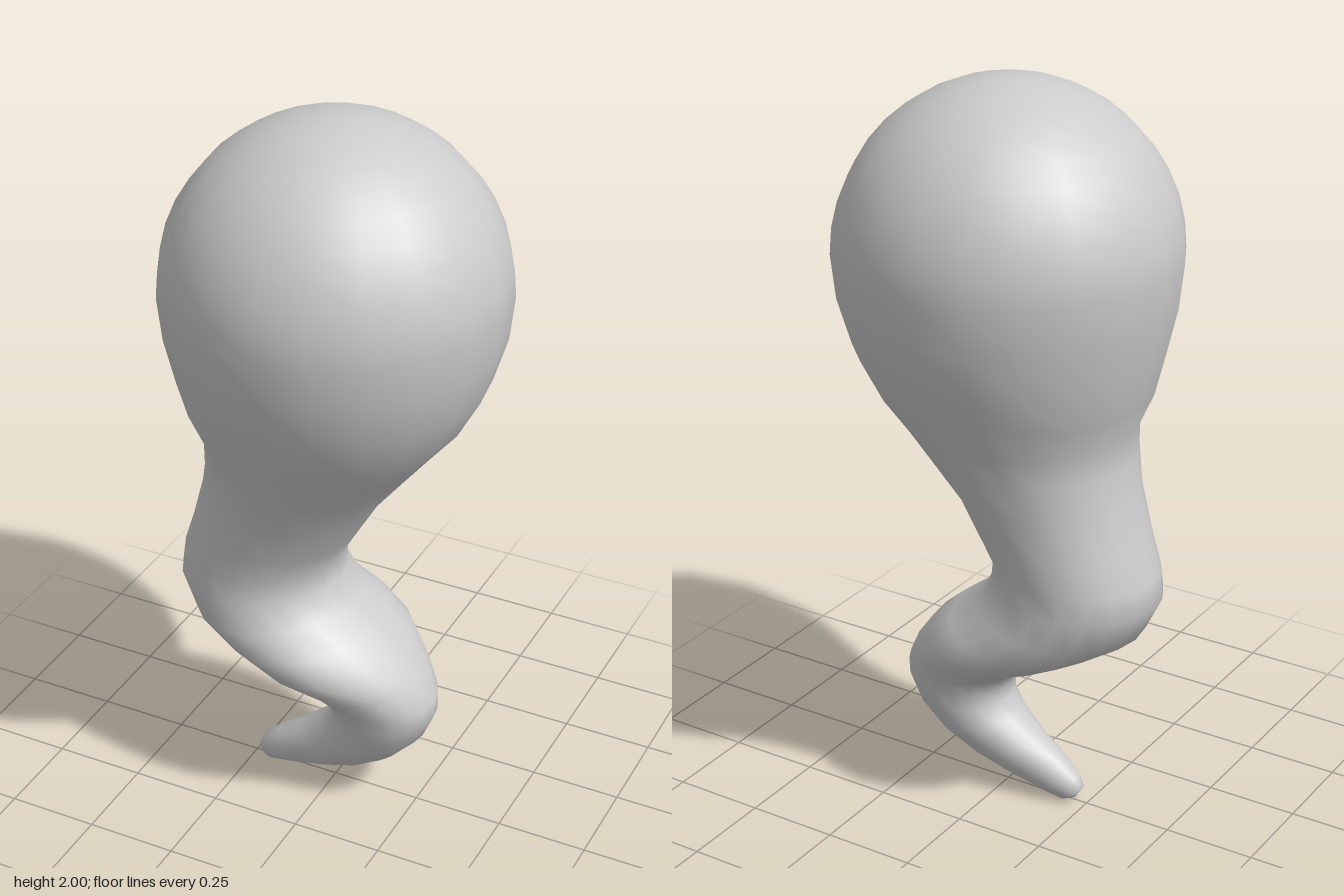
import * as THREE from 'three';

const SIDES = 20;

// Each section: left x, left y, right x, right y, half depth
const TAIL = [
  [-0.437, 1.43, 0.437, 1.43, 0.437],
  [-0.41, 1.31, 0.4, 1.31, 0.405],
  [-0.385, 1.2, 0.34, 1.2, 0.36],
  [-0.347, 1.11, 0.265, 1.11, 0.31],
  [-0.35, 1.03, 0.2, 1.03, 0.28],
  [-0.367, 0.93, 0.12, 0.93, 0.245],
  [-0.4, 0.81, 0.05, 0.81, 0.23],
  [-0.43, 0.72, 0.01, 0.74, 0.222],
  [-0.44, 0.65, 0.015, 0.68, 0.225],
  [-0.39, 0.55, 0.05, 0.61, 0.24],
  [-0.28, 0.48, 0.13, 0.56, 0.255],
  [-0.18, 0.43, 0.2, 0.5, 0.245],
  [-0.07, 0.38, 0.26, 0.42, 0.19],
  [-0.02, 0.34, 0.295, 0.35, 0.155],
  [0, 0.3, 0.295, 0.3, 0.143],
  [0, 0.26, 0.265, 0.23, 0.13],
  [-0.03, 0.22, 0.19, 0.15, 0.115],
  [-0.1, 0.165, 0.1, 0.09, 0.09],
  [-0.17, 0.12, 0, 0.05, 0.068],
  [-0.22, 0.078, -0.11, 0.02, 0.05],
  [-0.235, 0.045, -0.175, 0.005, 0.035],
];

// Joins elliptical sections, with a single point closing each end
function loft(sections, top, tip) {
  const points = [...top];
  for (const [xl, yl, xr, yr, depth] of sections) {
    for (let j = 0; j < SIDES; j++) {
      const a = (j / SIDES) * Math.PI * 2;
      const t = (1 + Math.cos(a)) / 2;
      points.push(xl + (xr - xl) * t, yl + (yr - yl) * t, depth * Math.sin(a));
    }
  }
  points.push(...tip);

  const last = points.length / 3 - 1;
  const at = (i, j) => 1 + i * SIDES + (j % SIDES);
  const index = [];
  for (let j = 0; j < SIDES; j++) {
    index.push(0, at(0, j + 1), at(0, j));
    for (let i = 0; i < sections.length - 1; i++) {
      const a = at(i, j), b = at(i + 1, j), c = at(i, j + 1), d = at(i + 1, j + 1);
      index.push(a, c, b, c, d, b);
    }
    index.push(at(sections.length - 1, j), at(sections.length - 1, j + 1), last);
  }

  const geometry = new THREE.BufferGeometry();
  geometry.setAttribute('position', new THREE.Float32BufferAttribute(points, 3));
  geometry.setIndex(index);
  geometry.computeVertexNormals();
  return geometry;
}

export function createModel() {
  const group = new THREE.Group();
  group.name = 'ghostBody';

  // Round head: sections of a half sphere
  const head = [];
  for (let i = 1; i <= 10; i++) {
    const a = (i / 10) * Math.PI / 2;
    const r = 0.45 * Math.sin(a), y = 1.55 + 0.45 * Math.cos(a);
    head.push([-r, y, r, y, r]);
  }

  // Head flowing into the curling, tapering tail
  const body = new THREE.Mesh(
    loft([...head, ...TAIL], [0, 2, 0], [-0.213, 0.012, 0]),
    new THREE.MeshStandardMaterial({ color: 0xcccccc })
  );
  body.name = 'headAndCurlingTail';
  group.add(body);
  return group;
}
